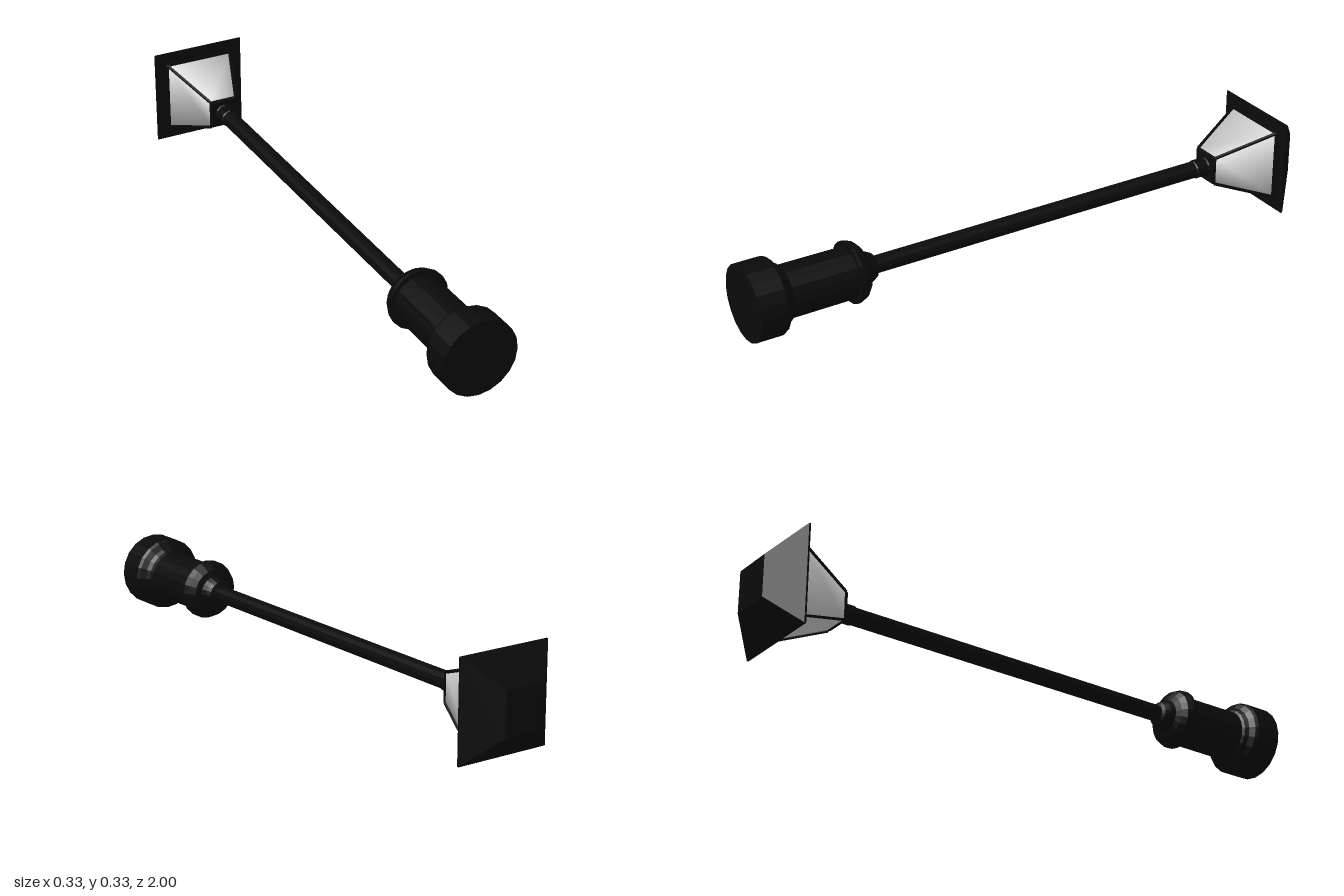
import * as THREE from 'three';

const black = new THREE.MeshStandardMaterial({ color: 0x0a0a0a, flatShading: true });
const glassMat = new THREE.MeshStandardMaterial({ color: 0xcccccc });

export function createModel() {
  const model = new THREE.Group();
  // The post is built upright along y, then laid down with its lantern toward -z
  const post = new THREE.Group();
  post.name = 'lampPost';
  post.rotation.x = -Math.PI / 2;
  post.position.y = 0.163;
  model.add(post);

  const add = (name, geometry, material = black) => {
    const mesh = new THREE.Mesh(geometry, material);
    mesh.name = name;
    post.add(mesh);
    return mesh;
  };
  const lathe = (name, points, sides) =>
    add(name, new THREE.LatheGeometry(points.map(([r, y]) => new THREE.Vector2(r, y)), sides));
  // Square frustum given by half widths
  const frustum = (name, low, high, y0, y1, material, open = false) => {
    const g = new THREE.CylinderGeometry(high * Math.SQRT2, low * Math.SQRT2, y1 - y0, 4, 1, open);
    g.rotateY(Math.PI / 4).translate(0, (y0 + y1) / 2, 0);
    return add(name, g.toNonIndexed(), material);
  };
  // Thin square bar between two points
  const bar = (name, a, b, size) => {
    const mesh = add(name, new THREE.BoxGeometry(size, size, a.distanceTo(b)));
    mesh.position.copy(a).add(b).multiplyScalar(0.5);
    mesh.quaternion.setFromUnitVectors(
      new THREE.Vector3(0, 0, 1), b.clone().sub(a).normalize());
  };

  // Base drum, column and domed collar
  lathe('base', [[0, -1], [0.124, -1], [0.124, -0.91], [0.118, -0.9], [0.1, -0.888],
    [0.092, -0.875], [0.084, -0.87], [0.083, -0.65]], 20);
  lathe('baseCollar', [[0.083, -0.65], [0.1, -0.652], [0.1, -0.64], [0.092, -0.62],
    [0.075, -0.605], [0.055, -0.598], [0.048, -0.58], [0.04, -0.565], [0.028, -0.56]], 20);

  // Shaft and the socket under the lantern
  lathe('shaft', [[0.028, -0.57], [0.028, 0.66]], 12);
  lathe('socket', [[0.027, 0.645], [0.031, 0.65], [0.031, 0.69], [0.036, 0.701]], 12);

  // Lantern floor, glass and frame
  frustum('lanternFloor', 0.046, 0.05, 0.695, 0.706);
  frustum('glass', 0.046, 0.118, 0.704, 0.9, glassMat);
  const corners = [[1, 1], [1, -1], [-1, -1], [-1, 1]];
  corners.forEach(([x, z], i) => {
    const [nx, nz] = corners[(i + 1) % 4];
    const top = new THREE.Vector3(x * 0.119, 0.9, z * 0.119);
    bar('cornerPost', new THREE.Vector3(x * 0.047, 0.703, z * 0.047), top, 0.008);
    bar('topRail', top, new THREE.Vector3(nx * 0.119, 0.9, nz * 0.119), 0.01);
  });

  // Overhanging roof with a flat top
  frustum('roofEdge', 0.163, 0.163, 0.903, 0.909);
  frustum('roof', 0.163, 0.073, 0.909, 0.997);
  frustum('roofCap', 0.073, 0.07, 0.997, 1);

  return model;
}
